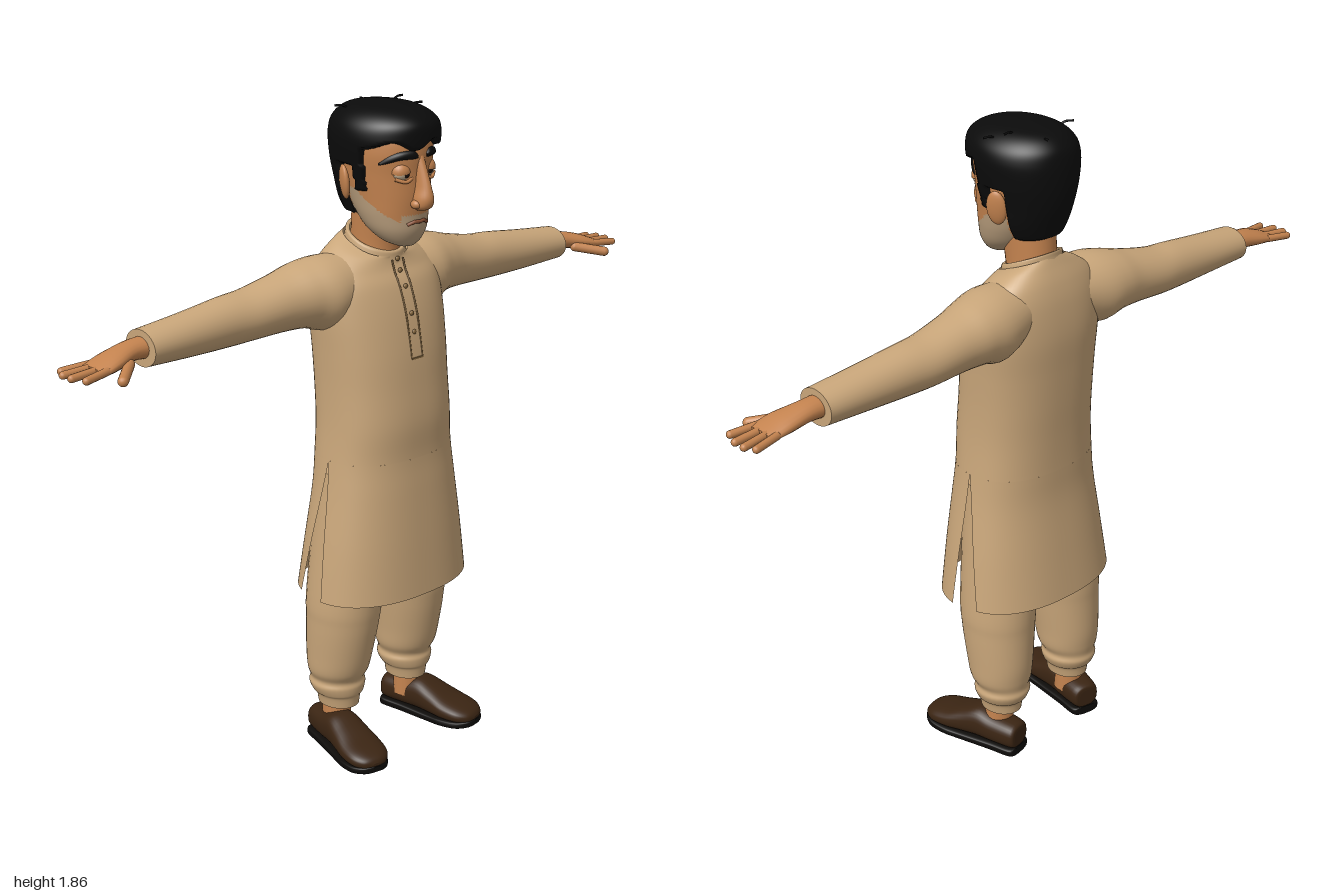
import * as THREE from 'three';

const mat = (name, color, side = THREE.FrontSide) => new THREE.MeshStandardMaterial({ name, color, side });

// Catmull-Rom blend of section rows at position s (in row numbers)
function sample(rows, s) {
  const i = Math.min(Math.floor(s), rows.length - 2), f = s - i;
  const r = (k) => rows[Math.max(0, Math.min(rows.length - 1, k))];
  const [p, a, b, n] = [r(i - 1), r(i), r(i + 1), r(i + 2)];
  return a.map((v, c) => v + 0.5 * f * (b[c] - p[c] + f * (2 * p[c] - 5 * v + 4 * b[c] - n[c] + f * (3 * (v - b[c]) + n[c] - p[c]))));
}

// Skin over oval sections [t, centreA, centreB, radiusA, radiusB, tilt] stacked along an axis
function loft(rows, { axis = 'y', nu = 32, nv = 40, e = 1, from = 0, to = rows.length - 1, arc = null, caps = true, warp = null } = {}) {
  const pos = [], idx = [], cols = arc ? nu + 1 : nu;
  const pow = (v) => Math.sign(v) * Math.abs(v) ** e;
  const put = (t, a, b) => pos.push(...(axis === 'y' ? [a, t, b] : axis === 'x' ? [t, a, b] : [a, b, t]));
  const tri = (a, b, c) => (axis === 'y' ? idx.push(a, c, b) : idx.push(a, b, c));
  const ring = (s) => {
    const [t, ca, cb, ra, rb, tilt = 0] = sample(rows, s);
    const [a0, a1] = arc ? arc(t, cb, rb) : [0, Math.PI * 2];
    for (let i = 0; i < cols; i++) {
      const th = a0 + (a1 - a0) * i / nu;
      const da = ra * pow(Math.cos(th)), db = rb * pow(Math.sin(th));
      const k = warp ? warp(t, ca + da, cb + db) : 1;
      put(t + tilt * db, ca + da * k, cb + db * k);
    }
  };
  for (let j = 0; j <= nv; j++) ring(from + (to - from) * j / nv);
  for (let j = 0; j < nv; j++) for (let i = 0; i < nu; i++) {
    const a = j * cols + i, b = j * cols + (i + 1) % cols;
    tri(a, b, b + cols);
    tri(a, b + cols, a + cols);
  }
  if (caps && !arc) for (const end of [from, to]) {
    const start = pos.length / 3, [t, ca, cb] = sample(rows, end);
    ring(end);
    put(t, ca, cb);
    for (let i = 0; i < nu; i++) {
      const a = start + i, b = start + (i + 1) % nu;
      if (end === from) tri(start + nu, b, a); else tri(start + nu, a, b);
    }
  }
  const g = new THREE.BufferGeometry();
  g.setAttribute('position', new THREE.Float32BufferAttribute(pos, 3));
  g.setIndex(idx);
  g.computeVertexNormals();
  return g;
}

// Mirrored copy across x = 0, with face order kept outward
function mirror(geo) {
  const g = geo.clone().scale(-1, 1, 1), ix = g.index;
  for (let i = 0; i < ix.count; i += 3) {
    const b = ix.getX(i + 1);
    ix.setX(i + 1, ix.getX(i + 2));
    ix.setX(i + 2, b);
  }
  return g;
}

// Put triangles chosen by their centre into a second material group
function splitFaces(g, test) {
  const p = g.attributes.position, ix = g.index.array, parts = [[], []];
  for (let i = 0; i < ix.length; i += 3) {
    const t = [ix[i], ix[i + 1], ix[i + 2]];
    const mid = (f) => (p[f](t[0]) + p[f](t[1]) + p[f](t[2])) / 3;
    parts[test(mid('getX'), mid('getY'), mid('getZ')) ? 1 : 0].push(...t);
  }
  g.setIndex([...parts[0], ...parts[1]]);
  g.addGroup(0, parts[0].length, 0);
  g.addGroup(parts[0].length, parts[1].length, 1);
  return g;
}

const ball = (x, y, z, rx, ry = rx, rz = rx) => new THREE.SphereGeometry(1, 20, 14).scale(rx, ry, rz).translate(x, y, z);
const tube = (pts, r) => new THREE.TubeGeometry(new THREE.CatmullRomCurve3(pts.map((p) => new THREE.Vector3(...p))), 24, r, 8);
function capsule(p, q, r) {
  const a = new THREE.Vector3(...p), d = new THREE.Vector3(...q).sub(a), len = d.length();
  const turn = new THREE.Quaternion().setFromUnitVectors(new THREE.Vector3(0, 1, 0), d.clone().normalize());
  return new THREE.CapsuleGeometry(r, len - r, 5, 12).applyQuaternion(turn).translate(...a.addScaledVector(d, 0.5).toArray());
}

export function createModel() {
  const model = new THREE.Group();
  const cloth = mat('cloth', 0xc9a67a, THREE.DoubleSide), seam = mat('seam', 0x86683f);
  const skin = mat('skin', 0xc4834f), stubble = mat('stubble', 0xb89d7c), lip = mat('lip', 0x8c5236);
  const hair = mat('hair', 0x0b0b0b), eyeWhite = mat('eyeWhite', 0xc9b293), iris = mat('iris', 0x1c120b);
  const leather = mat('shoeLeather', 0x3b2513), rubber = mat('shoeSole', 0x0d0b09);
  const add = (name, geo, material) => {
    const m = new THREE.Mesh(geo, material);
    m.name = name;
    model.add(m);
  };
  const pair = (name, geo, material) => {
    add(name + 'Left', geo, material);
    add(name + 'Right', mirror(geo), material);
  };

  // Long shirt: whole above the side slits, two panels below them
  const shirt = [
    [0.5, 0, -0.005, 0.26, 0.185, 0], [0.65, 0, 0, 0.24, 0.17, 0], [0.8, 0, 0.003, 0.217, 0.155, 0],
    [0.9, 0, 0, 0.205, 0.15, 0], [1.0, 0, 0, 0.197, 0.152, 0], [1.1, 0, -0.007, 0.195, 0.15, 0],
    [1.2, 0, -0.015, 0.198, 0.146, 0], [1.3, 0, -0.027, 0.203, 0.137, 0], [1.38, 0, -0.035, 0.2, 0.12, -0.05],
    [1.43, 0, -0.04, 0.175, 0.1, -0.15], [1.465, 0, -0.035, 0.125, 0.085, -0.3], [1.48, 0, -0.03, 0.085, 0.08, -0.4]];
  const e = 0.85;
  const edge = (z, cz, rz) => { const v = (z - cz) / rz; return Math.asin(Math.sign(v) * Math.abs(v) ** (1 / e)); };
  add('shirtBody', loft(shirt, { nu: 64, nv: 50, e, from: 3, caps: false }), cloth);
  add('shirtFrontPanel', loft(shirt, { nu: 40, nv: 20, e, to: 3, arc: (y, c, r) => {
    const a = edge(0.02 * (0.9 - y) / 0.4, c, r);
    return [a, Math.PI - a];
  } }), cloth);
  add('shirtBackPanel', loft(shirt, { nu: 40, nv: 20, e, from: 0.08, to: 3, arc: (y, c, r) => {
    const a = edge(-0.07 * (0.9 - y) / 0.4, c, r);
    return [Math.PI - a, Math.PI * 2 + a];
  } }), cloth);
  add('collar', loft([[1.445, 0, -0.03, 0.092, 0.088, -0.4], [1.475, 0, -0.03, 0.084, 0.082, -0.42],
    [1.492, 0, -0.03, 0.079, 0.08, -0.42], [1.492, 0, -0.03, 0.07, 0.07, -0.42]], { nv: 16, caps: false }), cloth);

  // Placket stitching and buttons
  const placket = [[1.18, 0.133], [1.25, 0.121], [1.3, 0.111], [1.37, 0.087], [1.41, 0.066], [1.44, 0.056]];
  for (const x of [-0.02, 0.02]) add('placketSeam', tube(placket.map(([y, z]) => [x, y, z]), 0.0025), seam);
  add('placketHem', new THREE.BoxGeometry(0.04, 0.005, 0.006).translate(0, 1.18, 0.133), seam);
  for (const [y, z] of placket.slice(1)) add('button', ball(0, y, z, 0.007, 0.007, 0.005), seam);

  // Sleeves
  pair('sleeve', loft([[0.08, 1.38, -0.05, 0.075, 0.085], [0.18, 1.36, -0.055, 0.1, 0.108], [0.25, 1.362, -0.065, 0.088, 0.098],
    [0.32, 1.354, -0.07, 0.077, 0.085], [0.42, 1.342, -0.075, 0.068, 0.077], [0.5, 1.338, -0.075, 0.066, 0.069],
    [0.62, 1.332, -0.072, 0.058, 0.064], [0.765, 1.327, -0.07, 0.048, 0.061]], { axis: 'x' }), cloth);

  // Hands
  pair('palm', loft([[0.74, 1.328, -0.07, 0.03, 0.036], [0.8, 1.328, -0.07, 0.026, 0.036], [0.86, 1.318, -0.062, 0.023, 0.047],
    [0.9, 1.31, -0.058, 0.017, 0.05], [0.925, 1.306, -0.058, 0.011, 0.045]], { axis: 'x', nu: 20, nv: 16 }), skin);
  const fingers = [[-0.097, -0.112, 0.985], [-0.072, -0.083, 1], [-0.046, -0.047, 1], [-0.02, -0.006, 0.985]];
  for (const [z0, z1, x1] of fingers) pair('finger', capsule([0.9, 1.31, z0], [x1 - 0.005, 1.304, z1], 0.0105), skin);
  pair('thumb', capsule([0.825, 1.31, -0.035], [0.9, 1.293, 0.035], 0.014), skin);

  // Baggy trousers with gathered cuffs
  pair('trouserLeg', loft([[0.13, 0.135, -0.045, 0.054, 0.064], [0.16, 0.135, -0.045, 0.06, 0.068], [0.172, 0.135, -0.047, 0.07, 0.077],
    [0.195, 0.135, -0.05, 0.079, 0.083], [0.215, 0.135, -0.05, 0.075, 0.08], [0.245, 0.135, -0.045, 0.087, 0.09],
    [0.3, 0.134, -0.04, 0.092, 0.1], [0.4, 0.13, -0.03, 0.1, 0.11], [0.5, 0.125, -0.025, 0.103, 0.115],
    [0.85, 0.1, -0.01, 0.09, 0.115]], { nv: 60 }), cloth);
  pair('ankle', new THREE.CylinderGeometry(0.04, 0.042, 0.1, 20).translate(0.143, 0.11, -0.045), skin);

  // Shoes, toes turned out
  const place = (g) => g.rotateY(0.2).translate(0.165, 0, 0);
  pair('shoe', place(loft([[-0.13, 0, 0.055, 0.025, 0.025], [-0.12, 0, 0.058, 0.042, 0.038], [-0.05, 0, 0.062, 0.05, 0.043],
    [0, 0, 0.067, 0.052, 0.049], [0.05, 0, 0.058, 0.058, 0.041], [0.1, 0, 0.048, 0.064, 0.031], [0.15, 0, 0.042, 0.059, 0.024],
    [0.18, 0, 0.038, 0.038, 0.016], [0.19, 0, 0.035, 0.012, 0.006]], { axis: 'z', e: 0.8 })), leather);
  pair('sole', place(loft([[-0.132, 0, 0.013, 0.025, 0.013], [-0.12, 0, 0.013, 0.045, 0.013], [-0.05, 0, 0.013, 0.05, 0.013],
    [0.05, 0, 0.013, 0.06, 0.012], [0.1, 0, 0.015, 0.066, 0.012], [0.15, 0, 0.017, 0.06, 0.012],
    [0.182, 0, 0.021, 0.038, 0.011], [0.193, 0, 0.024, 0.012, 0.008]], { axis: 'z', e: 0.45 })), rubber);

  // Neck and head, with a stubbled jaw
  add('neck', loft([[1.42, 0, -0.03, 0.07, 0.074], [1.48, 0, -0.028, 0.064, 0.074], [1.58, 0, -0.015, 0.068, 0.08]], { nv: 12 }), skin);
  const head = loft([[1.485, 0, 0.085, 0.025, 0.022], [1.5, 0, 0.07, 0.055, 0.05], [1.53, 0, 0.052, 0.08, 0.08],
    [1.57, 0, 0.035, 0.094, 0.1], [1.62, 0, 0.02, 0.102, 0.12], [1.68, 0, 0.01, 0.11, 0.132], [1.74, 0, 0.008, 0.115, 0.139],
    [1.79, 0, 0.005, 0.108, 0.132], [1.83, 0, 0, 0.08, 0.1], [1.845, 0, 0, 0.03, 0.04]], { nu: 80, nv: 80 });
  add('head', splitFaces(head, (x, y, z) => z > -0.03 && (y < 1.64 - 0.7 * Math.max(z, 0) || (z > 0.1 && Math.abs(x) < 0.05 && y < 1.575))), [skin, stubble]);
  add('nose', loft([[1.588, 0, 0.145, 0.012, 0.012], [1.598, 0, 0.148, 0.024, 0.028], [1.62, 0, 0.15, 0.025, 0.034],
    [1.65, 0, 0.147, 0.018, 0.031], [1.69, 0, 0.138, 0.015, 0.026], [1.735, 0, 0.128, 0.014, 0.018]], { nu: 24, nv: 24 }), skin);
  pair('nostril', ball(0.022, 1.606, 0.146, 0.012, 0.012, 0.016), skin);
  add('mouth', tube([[-0.036, 1.549, 0.128], [-0.015, 1.557, 0.137], [0, 1.556, 0.139], [0.015, 1.557, 0.137], [0.036, 1.549, 0.128]], 0.005), lip);
  pair('ear', new THREE.SphereGeometry(1, 20, 14).scale(0.012, 0.047, 0.028).rotateY(0.45).rotateZ(-0.12).translate(0.119, 1.655, -0.022), skin);

  // Eyes with heavy lids, and drooping brows
  pair('eye', ball(0.045, 1.688, 0.111, 0.026, 0.022, 0.026), eyeWhite);
  pair('iris', ball(0.043, 1.686, 0.1335, 0.009, 0.009, 0.005), iris);
  pair('upperLid', new THREE.SphereGeometry(0.029, 20, 12, 0, Math.PI * 2, 0, Math.PI / 2).rotateX(0.1).rotateZ(-0.15).translate(0.045, 1.691, 0.111), skin);
  pair('lowerLid', tube([[0.02, 1.677, 0.134], [0.045, 1.667, 0.135], [0.072, 1.675, 0.118]], 0.005), skin);
  pair('eyebrow', loft([[0.016, 1.732, 0.142, 0.006, 0.008], [0.03, 1.737, 0.14, 0.012, 0.011], [0.06, 1.735, 0.125, 0.011, 0.011],
    [0.082, 1.725, 0.103, 0.009, 0.01], [0.096, 1.713, 0.084, 0.003, 0.005]], { axis: 'x', nu: 14, nv: 16 }), hair);

  // Hair cap: tucked inside the head below a hairline with fringe, sideburns and nape
  const hairline = (x, z) => {
    if (z > 0.05) return 1.757 + 0.012 * Math.sin(x * 55);
    if (z > 0.012) return 1.632;
    return z > -0.05 ? 1.7 : 1.562;
  };
  const tuck = (y, x, z) => 0.78 + 0.22 * THREE.MathUtils.smoothstep(y, hairline(x, z) - 0.006, hairline(x, z) + 0.008);
  add('hair', loft([[1.54, 0, -0.03, 0.07, 0.07], [1.6, 0, -0.02, 0.107, 0.102], [1.66, 0, -0.005, 0.12, 0.14],
    [1.72, 0, 0, 0.131, 0.157], [1.78, 0, 0.005, 0.136, 0.163], [1.82, 0, 0.007, 0.121, 0.152],
    [1.848, 0, 0.002, 0.08, 0.105], [1.861, 0, 0, 0.015, 0.02]], { nu: 112, nv: 80, warp: tuck }), hair);
  // Stray locks
  for (const [x, y, z, dx, dz] of [[0.06, 1.84, -0.03, 0.05, -0.01], [0.09, 1.825, 0, 0.045, 0.01], [-0.07, 1.835, -0.05, -0.04, -0.02], [0.03, 1.83, -0.1, 0.01, -0.03]])
    add('strayLock', tube([[x, y, z], [x + dx / 2, y + 0.012, z + dz / 2], [x + dx, y + 0.012, z + dz]], 0.003), hair);
  return model;
}
